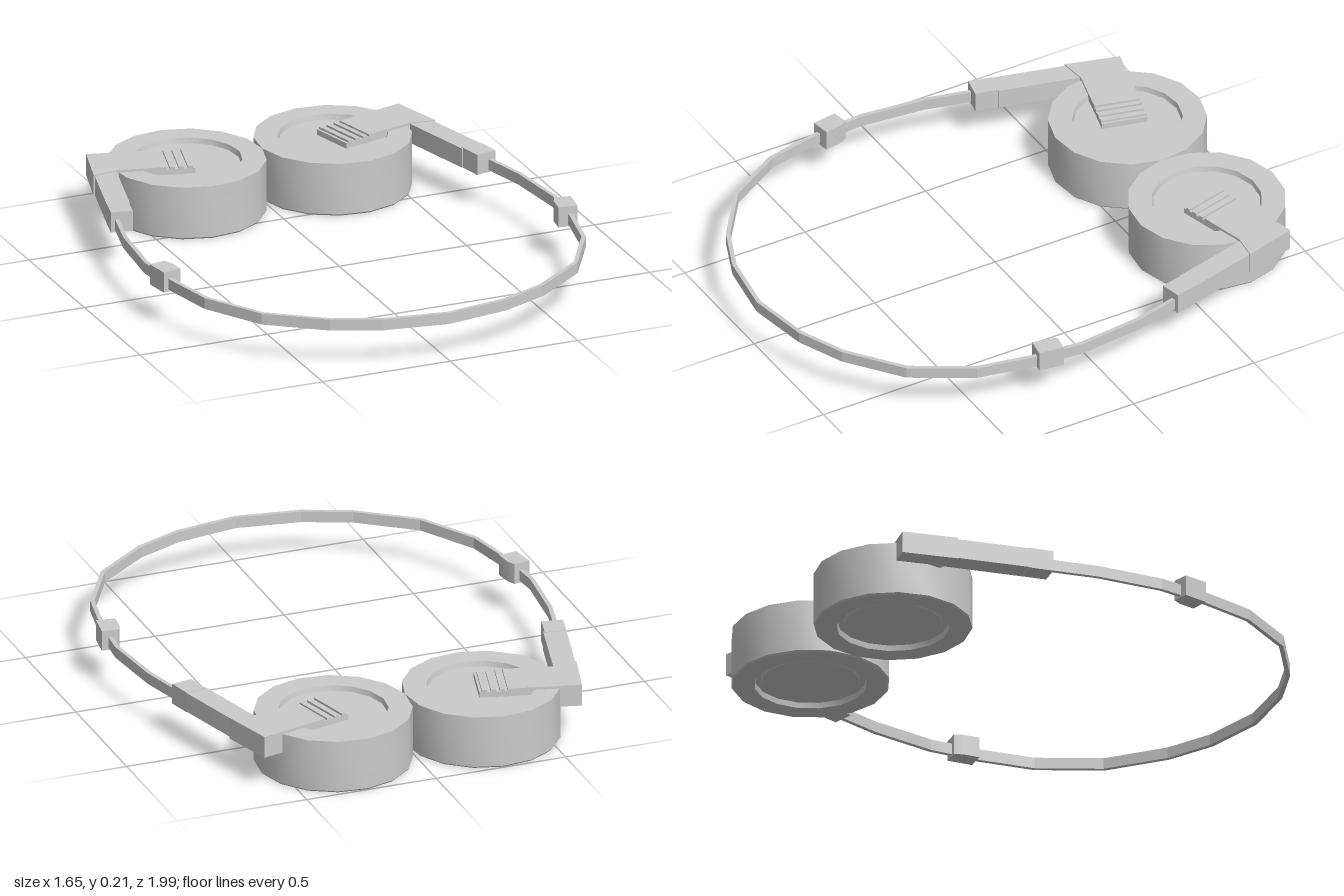
import * as THREE from 'three';
import { toCreasedNormals } from 'three/addons/utils/BufferGeometryUtils.js';

const material = new THREE.MeshStandardMaterial({ color: 0xcccccc });

function addMesh(parent, name, geometry, crease = 0.5) {
  const mesh = new THREE.Mesh(toCreasedNormals(geometry, crease), material);
  mesh.name = name;
  parent.add(mesh);
  return mesh;
}

// Horizontal slab from an outline of [x, z] points, between heights y0 and y1
function slab(points, y0, y1) {
  const shape = new THREE.Shape(points.map(([x, z]) => new THREE.Vector2(x, -z)));
  const geometry = new THREE.ExtrudeGeometry(shape, { depth: y1 - y0, bevelEnabled: false });
  return geometry.rotateX(-Math.PI / 2).translate(0, y0, 0);
}

// Thin headband, offset inwards from its outer polyline
function headband() {
  const half = [[0, 0.99], [0.24, 0.952], [0.418, 0.877], [0.62, 0.725], [0.748, 0.505],
    [0.79, 0.3], [0.809, 0.1], [0.782, -0.15], [0.735, -0.34]];
  const outer = [...half.slice(1).reverse().map(([x, z]) => [-x, z]), ...half];
  const inner = outer.map(([x, z], i) => {
    const a = outer[Math.max(i - 1, 0)], b = outer[Math.min(i + 1, outer.length - 1)];
    const dx = b[0] - a[0], dz = b[1] - a[1], len = Math.hypot(dx, dz);
    return [x + (dz / len) * 0.016, z - (dx / len) * 0.016];
  });
  return slab([...outer, ...inner.reverse()], 0.14, 0.182);
}

// Ear cup with a sunken outer plate and a ring groove in the cushion
function earCup(side) {
  const profile = [[0, 0.012], [0.175, 0.012], [0.182, 0.02], [0.2, 0.02], [0.204, 0],
    [0.282, 0], [0.287, 0.006], [0.287, 0.202], [0.2, 0.202], [0.196, 0.182], [0, 0.182]];
  const geometry = new THREE.LatheGeometry(profile.map(p => new THREE.Vector2(...p)), 16);
  return geometry.rotateY(side * 0.08).translate(side * 0.286, 0, -0.715);
}

function createSide(side) {
  const group = new THREE.Group();
  group.name = side > 0 ? 'leftSide' : 'rightSide';
  const mirror = points => points.map(([x, z]) => [side * x, z]);
  const part = (name, points, y0, y1) => addMesh(group, name, slab(mirror(points), y0, y1));

  addMesh(group, 'earCup', earCup(side));

  // Elbow block, the arm reaching over the cup and its stepped tip
  part('elbow', [[0.613, -0.873], [0.67, -0.674], [0.575, -0.685], [0.51, -0.705], [0.51, -0.846]], 0.13, 0.212);
  part('arm', [[0.52, -0.849], [0.353, -0.806], [0.396, -0.641], [0.575, -0.687]], 0.175, 0.212);
  part('armTip', [[0.36, -0.808], [0.253, -0.78], [0.296, -0.615], [0.4, -0.642]], 0.175, 0.203);
  for (let i = 0; i < 3; i++) {
    const x = 0.262 + i * 0.032, z = -0.782 - i * 0.008;
    part('gripRib', [[x, z], [x + 0.018, z - 0.005], [x + 0.061, z + 0.16], [x + 0.043, z + 0.165]], 0.2, 0.211);
  }

  // Sliding sleeve with a slightly wider mouth
  part('slider', [[0.6, -0.86], [0.575, -0.69], [0.652, -0.39], [0.735, -0.408], [0.664, -0.68]], 0.134, 0.208);
  part('sliderMouth', [[0.644, -0.4], [0.655, -0.4], [0.676, -0.308], [0.755, -0.324], [0.734, -0.412]].slice(1), 0.132, 0.21);

  // Clip on the headband
  part('bandClip', [[0.75, 0.21], [0.765, 0.18], [0.826, 0.19], [0.812, 0.284], [0.741, 0.273]], 0.132, 0.21);
  return group;
}

export function createModel() {
  const model = new THREE.Group();
  model.name = 'headphones';
  addMesh(model, 'headband', headband(), 0.2);
  for (const side of [1, -1]) model.add(createSide(side));
  return model;
}
